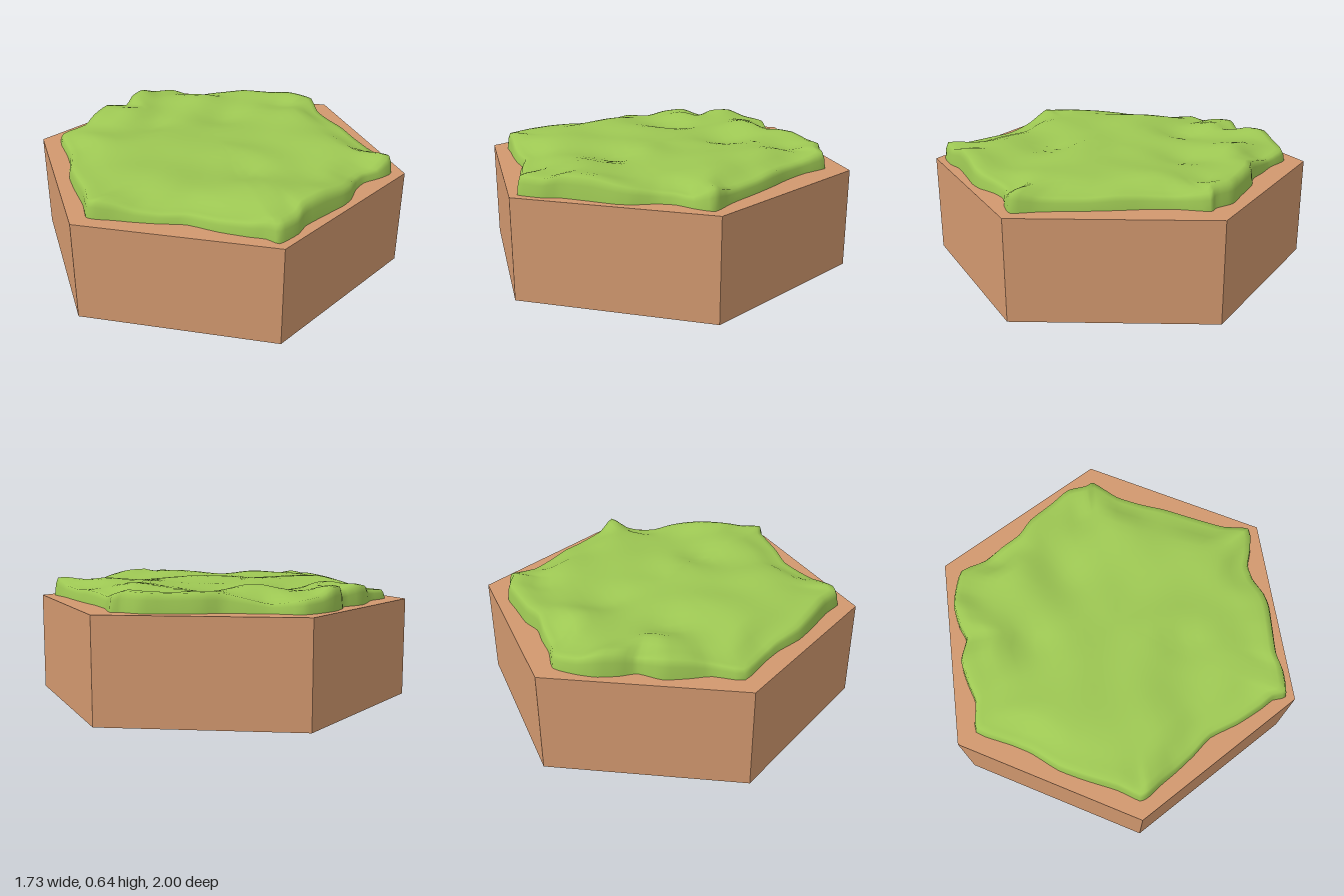
import * as THREE from 'three';

const soil = new THREE.MeshStandardMaterial({ name: 'soil brown', color: 0xd2986f });
const grass = new THREE.MeshStandardMaterial({ name: 'grass green', color: 0x9dc753 });

const BASE_H = 0.52;

// Ragged rim of the turf: x, rim height, z
const rim = [
  [0, .605, .905], [.05, .615, .89], [.12, .6, .84], [.2, .575, .79], [.3, .565, .72], [.4, .57, .64],
  [.55, .575, .59], [.68, .585, .53], [.75, .6, .49], [.82, .615, .48], [.83, .61, .36], [.81, .63, .27],
  [.82, .63, .12], [.83, .61, 0], [.82, .595, -.08], [.78, .575, -.18], [.77, .57, -.27], [.8, .57, -.36],
  [.81, .622, -.46], [.68, .585, -.51], [.5, .58, -.6], [.37, .59, -.66], [.25, .585, -.71], [.12, .58, -.78],
  [0, .605, -.875], [-.05, .622, -.85], [-.15, .62, -.84], [-.25, .615, -.77], [-.38, .62, -.68], [-.45, .614, -.6],
  [-.55, .59, -.55], [-.65, .565, -.49], [-.78, .585, -.44], [-.82, .6, -.32], [-.83, .635, -.22], [-.81, .63, -.12],
  [-.78, .6, -.04], [-.815, .625, .08], [-.79, .61, .2], [-.76, .58, .3], [-.77, .57, .45], [-.6, .56, .54],
  [-.5, .57, .6], [-.38, .585, .7], [-.25, .6, .77], [-.1, .61, .84],
];

// Soft bumps and hollows: x, z, radius, height
const bumps = [
  [-.48, -.4, .17, .035], [-.22, -.32, .15, -.03], [-.62, .02, .13, .035], [-.45, .04, .13, -.035],
  [-.2, .12, .18, .025], [.2, .05, .16, .03], [.34, .14, .12, -.035], [.55, .25, .16, .03],
  [.1, -.55, .2, .025], [.45, -.35, .2, .02], [.62, -.05, .13, -.02], [-.35, .45, .18, .025],
  [.05, .5, .2, .025], [-.6, .3, .13, -.015], [-.1, -.68, .12, -.02],
];

// Height of the open ground, with a fine ripple over the bumps
function turfHeight(x, z) {
  let y = 0.602 + 0.006 * Math.sin(13 * x + 5 * z) * Math.sin(11 * z - 6 * x);
  for (const [bx, bz, r, h] of bumps) y += h * Math.exp(-((x - bx) ** 2 + (z - bz) ** 2) / (r * r));
  return Math.min(y, 0.64);
}

function turfGeometry() {
  const points = rim.map((p) => new THREE.Vector3(...p));
  const curve = new THREE.CatmullRomCurve3(points, true, 'catmullrom', 0.3);
  const n = rim.length * 3;
  // Side wall rings: inward scale, fraction of rim height
  const wall = [[1, 0], [.992, .6], [.978, .95]];
  const inner = [.94, .9, .85, .8, .74, .67, .6, .52, .44, .36, .28, .2, .1];
  const rings = wall.length + inner.length;
  const pos = [], index = [];
  for (let r = 0; r < rings; r++) {
    for (let i = 0; i < n; i++) {
      const p = curve.getPoint(i / n);
      let s, y;
      if (r < wall.length) {
        s = wall[r][0];
        y = BASE_H + (p.y - BASE_H) * wall[r][1];
      } else {
        s = inner[r - wall.length];
        const blend = THREE.MathUtils.smoothstep(s, .75, .95);
        y = THREE.MathUtils.lerp(turfHeight(p.x * s, p.z * s), p.y, blend);
      }
      pos.push(p.x * s, y, p.z * s);
    }
  }
  pos.push(0, turfHeight(0, 0), 0);
  const centre = rings * n;
  for (let r = 0; r < rings; r++) {
    for (let i = 0; i < n; i++) {
      const j = (i + 1) % n, a = r * n + i, b = r * n + j;
      if (r === rings - 1) index.push(a, b, centre);
      else index.push(a, b, b + n, a, b + n, a + n);
    }
  }
  const g = new THREE.BufferGeometry();
  g.setAttribute('position', new THREE.Float32BufferAttribute(pos, 3));
  g.setIndex(index);
  g.computeVertexNormals();
  return g;
}

export function createModel() {
  const model = new THREE.Group();
  model.name = 'hexagonalGrassTile';

  // Six-sided block of soil, flat faced
  const block = new THREE.CylinderGeometry(1, 1, BASE_H, 6).toNonIndexed();
  block.computeVertexNormals();
  const base = new THREE.Mesh(block, soil);
  base.name = 'soilBase';
  base.position.y = BASE_H / 2;
  model.add(base);

  // Uneven turf layer on top
  const turf = new THREE.Mesh(turfGeometry(), grass);
  turf.name = 'grassTop';
  model.add(turf);

  return model;
}
